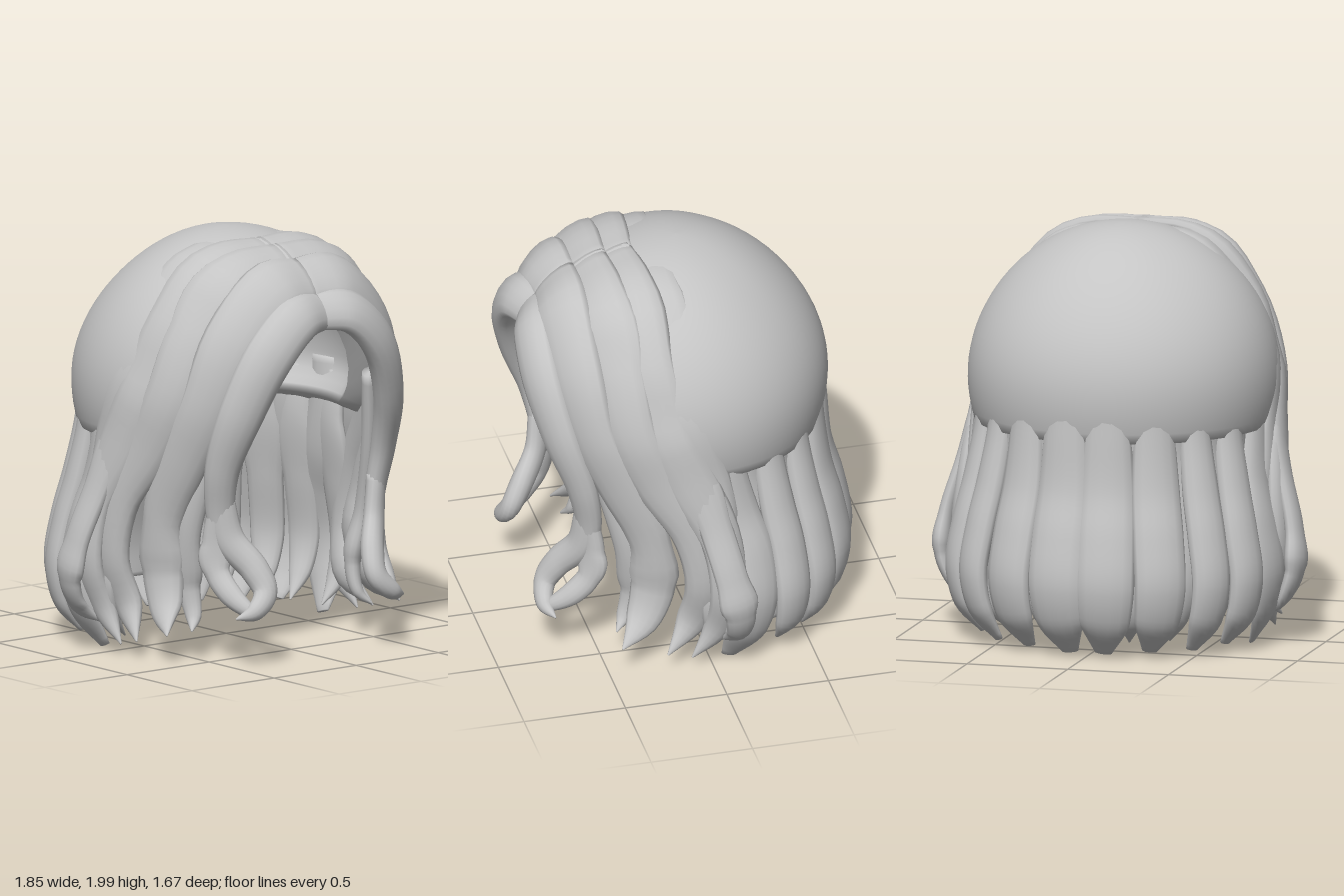
import * as THREE from 'three';

const SIDES = 14, STEPS = 36;
const { lerp, smoothstep, degToRad } = THREE.MathUtils;

// Closed skin through rings of points; each ring has the same count
function skin(rings) {
  const n = rings[0].length, pos = [], idx = [];
  rings.forEach(r => r.forEach(p => pos.push(p.x, p.y, p.z)));
  for (let i = 0; i < rings.length - 1; i++) {
    for (let j = 0; j < n; j++) {
      const k = (j + 1) % n, a = i * n + j, b = i * n + k;
      idx.push(a, b, a + n, b, b + n, a + n);
    }
  }
  const g = new THREE.BufferGeometry();
  g.setAttribute('position', new THREE.Float32BufferAttribute(pos, 3));
  g.setIndex(idx);
  g.computeVertexNormals();
  return g;
}

// A lock of hair: points are [x, y, z, half width, half thickness]
function lockGeometry(points, side) {
  const path = new THREE.CatmullRomCurve3(points.map(p => new THREE.Vector3(p[0] * side, p[1], p[2])));
  const size = new THREE.CatmullRomCurve3(points.map(p => new THREE.Vector3(p[3], p[4], 0)));
  const rings = [];
  const ring = (t, scale) => {
    const p = path.getPoint(t), s = size.getPoint(t), dir = path.getTangent(t);
    const out = new THREE.Vector3(p.x, Math.max(0, p.y - 1.2), p.z);
    out.addScaledVector(dir, -out.dot(dir)).normalize();
    const across = new THREE.Vector3().crossVectors(out, dir);
    const w = Math.max(s.x, 0.004) * scale, h = Math.max(s.y, 0.004) * scale;
    const r = [];
    for (let j = 0; j < SIDES; j++) {
      const a = j / SIDES * Math.PI * 2;
      r.push(p.clone().addScaledVector(across, w * Math.cos(a)).addScaledVector(out, h * Math.sin(a)));
    }
    rings.push(r);
  };
  ring(0, 0);
  for (let i = 0; i <= STEPS; i++) ring(i / STEPS, 1);
  ring(1, 0);
  return skin(rings);
}

// Thick skull cap, cut high at the face and low at the back, with an inner lip
function capGeometry() {
  const rings = [], cols = 72, rows = 28;
  const row = (t, scale) => {
    const r = [];
    for (let j = 0; j < cols; j++) {
      const phi = -j / cols * Math.PI * 2;
      const front = Math.abs(Math.atan2(Math.sin(phi), Math.cos(phi)));
      const a = t * lerp(0.95, 1.86, smoothstep(front, 0.55, 1.25));
      // the back slopes a little flatter than a ball
      const s = scale * (1 - 0.03 * Math.sin(2 * a) ** 2 * smoothstep(front, 1.3, 2.4) * (a < 1.57 ? 1 : 0));
      r.push(new THREE.Vector3(
        Math.sin(phi) * Math.sin(a) * 0.75 * s,
        1.25 + Math.cos(a) * 0.74 * s,
        Math.cos(phi) * Math.sin(a) * 0.725 * s));
    }
    rings.push(r);
  };
  for (let i = 0; i <= rows; i++) row(i / rows, 1);
  row(1.02, 0.94);
  for (let i = rows; i >= 0; i--) row(i / rows, 0.87 - 0.08 * smoothstep(i / rows, 0.85, 1));
  return skin(rings);
}

// Locks of the model's left side; the right side mirrors them
const LOCKS = {
  fringeLock: [
    [-0.02, 1.68, 0.7, 0.1, 0.05], [0.15, 1.665, 0.745, 0.115, 0.065], [0.33, 1.5, 0.745, 0.12, 0.07],
    [0.45, 1.22, 0.68, 0.11, 0.07], [0.49, 0.95, 0.59, 0.085, 0.06], [0.475, 0.74, 0.55, 0.07, 0.05],
    [0.46, 0.58, 0.55, 0.05, 0.04]],
  frontCurlInner: [
    [0.47, 0.8, 0.56, 0.06, 0.045], [0.44, 0.6, 0.58, 0.075, 0.05], [0.36, 0.46, 0.67, 0.07, 0.055],
    [0.34, 0.35, 0.73, 0.06, 0.05], [0.42, 0.27, 0.75, 0.045, 0.04], [0.51, 0.24, 0.72, 0.004, 0.004]],
  frontCurlOuter: [
    [0.48, 0.76, 0.55, 0.05, 0.04], [0.49, 0.58, 0.53, 0.06, 0.04], [0.49, 0.44, 0.55, 0.06, 0.04],
    [0.47, 0.34, 0.63, 0.055, 0.04], [0.43, 0.27, 0.72, 0.035, 0.03], [0.39, 0.24, 0.76, 0.004, 0.004]],
  foreheadLock: [
    [-0.02, 1.81, 0.6, 0.13, 0.045], [0.2, 1.795, 0.615, 0.15, 0.06], [0.43, 1.56, 0.6, 0.15, 0.065],
    [0.545, 1.25, 0.54, 0.13, 0.06], [0.59, 0.98, 0.42, 0.12, 0.06], [0.61, 0.7, 0.29, 0.11, 0.06],
    [0.59, 0.42, 0.26, 0.11, 0.06], [0.62, 0.24, 0.32, 0.085, 0.045], [0.71, 0.14, 0.44, 0.004, 0.004]],
  innerTempleLock: [
    [0.45, 1.3, 0.54, 0.06, 0.04], [0.5, 0.95, 0.47, 0.06, 0.04], [0.53, 0.6, 0.38, 0.06, 0.04],
    [0.5, 0.35, 0.34, 0.06, 0.04], [0.5, 0.2, 0.38, 0.04, 0.03], [0.55, 0.14, 0.43, 0.004, 0.004]],
  templeLock: [
    [-0.02, 1.88, 0.45, 0.12, 0.04], [0.3, 1.835, 0.44, 0.14, 0.055], [0.52, 1.59, 0.42, 0.14, 0.055],
    [0.635, 1.28, 0.37, 0.13, 0.06], [0.675, 1.02, 0.25, 0.125, 0.06], [0.715, 0.75, 0.09, 0.11, 0.06],
    [0.715, 0.45, 0.03, 0.105, 0.06], [0.66, 0.22, 0.09, 0.08, 0.05], [0.72, 0.08, 0.22, 0.004, 0.004]],
  crownLock: [
    [-0.02, 1.91, 0.32, 0.11, 0.035], [0.3, 1.875, 0.3, 0.13, 0.05], [0.56, 1.62, 0.28, 0.13, 0.05],
    [0.685, 1.3, 0.22, 0.13, 0.05], [0.72, 1.02, 0.1, 0.13, 0.06], [0.77, 0.72, -0.03, 0.1, 0.05],
    [0.785, 0.42, -0.06, 0.09, 0.05], [0.72, 0.2, -0.02, 0.07, 0.05], [0.72, 0.05, 0.1, 0.004, 0.004]],
  rearCrownLock: [
    [-0.02, 1.91, 0.18, 0.11, 0.03], [0.3, 1.885, 0.18, 0.12, 0.035], [0.55, 1.665, 0.16, 0.12, 0.035],
    [0.695, 1.35, 0.12, 0.12, 0.04], [0.715, 1.02, 0.02, 0.11, 0.04], [0.72, 0.8, -0.06, 0.07, 0.04],
    [0.72, 0.6, -0.08, 0.01, 0.01]],
  outerSideLock: [
    [0.67, 1.3, 0.16, 0.07, 0.04], [0.73, 1.05, 0.07, 0.08, 0.04], [0.79, 0.8, 0, 0.08, 0.04],
    [0.86, 0.55, -0.06, 0.08, 0.04], [0.875, 0.36, -0.1, 0.08, 0.04], [0.82, 0.22, -0.1, 0.06, 0.03],
    [0.73, 0.14, -0.04, 0.004, 0.004]],
};

// Back locks: [degrees from straight back, widest radius, half width, tip height, sway at root, sway at tip]
const BACK = [
  [9, 0.79, 0.14, 0.02, 0, -2], [28, 0.8, 0.125, 0.03, 0, -2], [46, 0.82, 0.1, 0.03, 0, -3],
  [61, 0.82, 0.1, 0.04, 2, -2], [76, 0.79, 0.13, 0.01, 8, 6]];

function backLock([deg, radius, w, tip, root, end]) {
  const at = (r, y, hw, h, turn = 0) => {
    const a = degToRad(deg + turn);
    return [Math.sin(a) * r, y, -Math.cos(a) * r, hw, h];
  };
  return [
    at(0.67, 1.26, w * 0.7, 0.04, root), at(0.67, 1.06, w * 0.82, 0.055, root), at(radius - 0.1, 0.8, w * 0.95, 0.06, root / 2),
    at(radius - 0.04, 0.58, w, 0.06), at(radius, 0.36, w, 0.055), at(radius - 0.03, 0.18, w * 0.88, 0.045, end / 3),
    at(radius - 0.12, tip, w * 0.3, 0.012, end)];
}

// Thin strands filling the joints between back locks
function fillerLock(deg) {
  const a = degToRad(deg), s = Math.sin(a), c = -Math.cos(a);
  return [[1.2, 0.67], [0.95, 0.65], [0.65, 0.69], [0.35, 0.73], [0.18, 0.69], [0.06, 0.6]].map(([y, r], i) =>
    [s * r, y, c * r, [0.08, 0.09, 0.09, 0.085, 0.06, 0.004][i], i === 5 ? 0.004 : 0.035]);
}

// Smooth panel behind the neck
const NECK_PANEL = [
  [0, 1.15, -0.62, 0.22, 0.04], [0, 0.95, -0.61, 0.22, 0.04], [0, 0.65, -0.66, 0.22, 0.04],
  [0, 0.35, -0.715, 0.2, 0.035], [0, 0.17, -0.7, 0.1, 0.02]];

export function createModel() {
  const model = new THREE.Group();
  model.name = 'hair';
  const hair = new THREE.MeshStandardMaterial({ color: 0xc4c4c4 });
  hair.name = 'hair grey';
  const add = (name, geometry) => {
    const mesh = new THREE.Mesh(geometry, hair);
    mesh.name = name;
    model.add(mesh);
  };

  add('skullCap', capGeometry());
  add('neckPanel', lockGeometry(NECK_PANEL, 1));
  for (const [side, label] of [[1, 'Left'], [-1, 'Right']]) {
    for (const [name, points] of Object.entries(LOCKS)) add(name + label, lockGeometry(points, side));
    BACK.forEach((b, i) => add(`backLock${label}${i + 1}`, lockGeometry(backLock(b), side)));
    [18, 37, 54, 69, 88].forEach((d, i) => add(`fillerLock${label}${i + 1}`, lockGeometry(fillerLock(d), side)));
  }
  return model;
}
